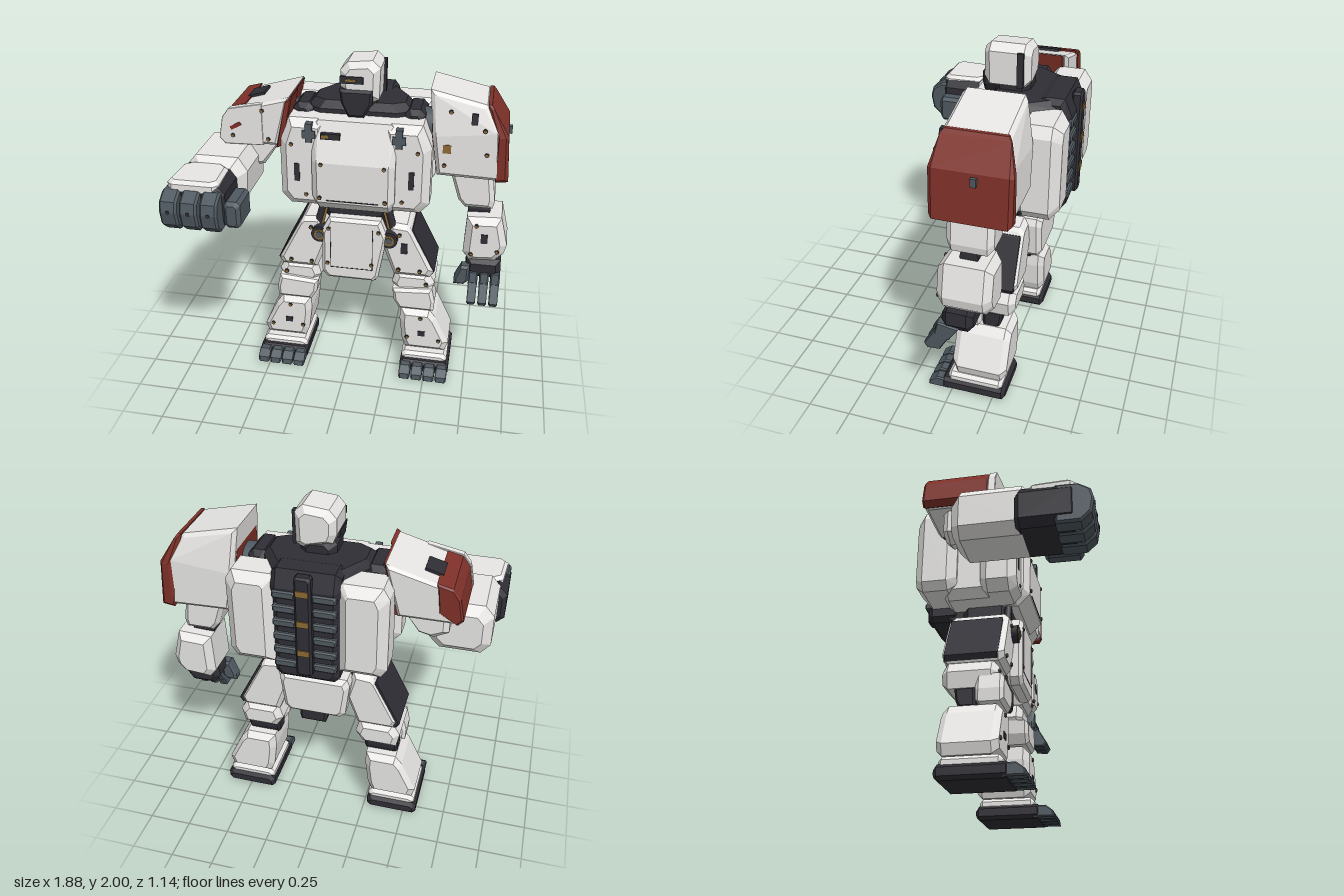
import * as THREE from 'three';
import { ConvexGeometry } from 'three/addons/geometries/ConvexGeometry.js';

const paint = (name, color) => Object.assign(new THREE.MeshStandardMaterial({ color }), { name });

export function createModel() {
  const white = paint('armour white', 0xeeedeb);
  const dark = paint('frame charcoal', 0x2f2e35);
  const steel = paint('steel grey', 0x4f5960);
  const red = paint('shoulder red', 0x7f3129);
  const gold = paint('brass', 0x8c6a34);

  const root = new THREE.Group();
  root.name = 'walkingRobot';
  const body = new THREE.Group();
  body.name = 'body';
  body.position.x = 0.035;
  root.add(body);
  let target = body;

  const add = (name, geo, mat) => {
    const m = new THREE.Mesh(geo, mat);
    m.name = name;
    target.add(m);
    return m;
  };

  // Bevelled convex block: a profile swept from a to b along an axis, both ends inset.
  // Profile is (x,y) for axis z, (z,y) for axis x, (x,z) for axis y; warp may move the points.
  function block(name, mat, poly, a, b, bev = 0.04, axis = 'z', warp = p => p) {
    const mid = [0, 1].map(k => (Math.min(...poly.map(p => p[k])) + Math.max(...poly.map(p => p[k]))) / 2);
    const half = [0, 1].map(k => Math.max(...poly.map(p => Math.abs(p[k] - mid[k]))));
    const pts = [];
    for (const [at, inset] of [[a, bev], [a + bev, 0], [b - bev, 0], [b, bev]]) {
      for (const p of poly) {
        const [u, v] = [0, 1].map(k => mid[k] + (p[k] - mid[k]) * Math.max(0.3, 1 - inset / half[k]));
        pts.push(warp(axis === 'z' ? new THREE.Vector3(u, v, at)
          : axis === 'x' ? new THREE.Vector3(at, v, u) : new THREE.Vector3(u, at, v)));
      }
    }
    return add(name, new ConvexGeometry(pts), mat);
  }

  // Box with chamfered edges
  function cbox(name, mat, [x, y, z], [w, h, d], c = 0.02) {
    const X = w / 2, Y = h / 2;
    const poly = [[-X + c, -Y], [X - c, -Y], [X, -Y + c], [X, Y - c], [X - c, Y], [-X + c, Y], [-X, Y - c], [-X, -Y + c]]
      .map(p => [p[0] + x, p[1] + y]);
    return block(name, mat, poly, z - d / 2, z + d / 2, c);
  }

  const plate = (name, mat, pos, size) => {
    const m = add(name, new THREE.BoxGeometry(...size), mat);
    m.position.set(...pos);
    return m;
  };

  function cyl(name, mat, pos, r, len, axis, sides = 16) {
    const m = add(name, new THREE.CylinderGeometry(r, r, len, sides), mat);
    if (axis === 'x') m.rotation.z = Math.PI / 2;
    if (axis === 'z') m.rotation.x = Math.PI / 2;
    m.position.set(...pos);
    return m;
  }
  const bolts = (list, z) => list.forEach(([x, y]) => {
    cyl('boltSeat', dark, [x, y, z], 0.013, 0.018, 'z', 8);
    cyl('bolt', gold, [x, y, z + 0.002], 0.009, 0.02, 'z', 8);
  });
  const flip = (poly, s) => poly.map(([x, y]) => [x * s, y]);

  // Torso core, chest and collar
  cbox('torsoCore', white, [0, 1.38, -0.2], [0.74, 0.48, 0.42], 0.05);
  block('chestPlate', white, [[-0.12, 1.14], [0.03, 1.13], [0.1, 1.2], [0.105, 1.45], [0.03, 1.68], [-0.1, 1.68]], -0.24, 0.24, 0.035, 'x');
  block('collar', dark, [[-0.18, -0.48], [0.18, -0.48], [0.3, -0.28], [0.3, -0.13], [0.22, -0.08], [-0.22, -0.08], [-0.3, -0.13], [-0.3, -0.28]], 1.58, 1.745, 0.04, 'y');
  cbox('neck', dark, [0, 1.74, -0.19], [0.2, 0.18, 0.2], 0.04);
  block('upperBack', dark, [[-0.54, 1.6], [-0.54, 1.66], [-0.5, 1.755], [-0.4, 1.755], [-0.3, 1.72], [-0.3, 1.6]], -0.185, 0.185, 0.03, 'x');
  cbox('waist', dark, [0, 1.1, -0.17], [0.42, 0.18, 0.3], 0.05);
  plate('chestVent', dark, [-0.13, 1.6, 0.06], [0.11, 0.035, 0.03]);
  plate('chestVentInlay', gold, [-0.16, 1.6, 0.076], [0.04, 0.018, 0.004]);
  plate('chestLine', dark, [0, 1.215, 0.102], [0.3, 0.005, 0.006]);

  // Back plate with ribs, spine and brass clips
  cbox('backPlate', dark, [0, 1.4, -0.43], [0.36, 0.62, 0.2], 0.03);
  block('backWedge', dark, [[-0.5, 1.18], [-0.2, 1.18], [-0.2, 1.05], [-0.36, 1.05]], -0.17, 0.17, 0.03, 'x');
  cbox('spine', dark, [0, 1.45, -0.54], [0.09, 0.6, 0.06], 0.012);
  for (let i = 0; i < 6; i++)
    for (const s of [1, -1]) cbox('backRib', steel, [s * 0.108, 1.2 + i * 0.085, -0.53], [0.125, 0.045, 0.04], 0.008);
  for (const y of [1.3, 1.48, 1.66]) plate('spineClip', gold, [0, y, -0.572], [0.066, 0.035, 0.008]);

  // Pelvis
  cbox('pelvis', dark, [0, 0.95, -0.17], [0.34, 0.22, 0.3], 0.05);
  block('frontSkirt', white, [[-0.15, 1.07], [0.16, 1.07], [0.2, 0.97], [0.15, 0.68], [0.125, 0.65], [-0.16, 0.65], [-0.195, 0.69], [-0.195, 0.98]], -0.04, 0.05, 0.02);
  for (const x of [-0.14, 0.115]) plate('skirtSideLine', dark, [x, 0.87, 0.049], [0.004, 0.28, 0.006]);
  plate('skirtBottomLine', dark, [-0.012, 0.735, 0.049], [0.25, 0.004, 0.006]);
  block('rearSkirt', white, [[-0.19, 1.02], [0.19, 1.02], [0.205, 0.98], [0.18, 0.78], [0.15, 0.75], [-0.15, 0.75], [-0.18, 0.78], [-0.205, 0.98]], -0.41, -0.27, 0.028);
  block('crotchGuard', dark, [[-0.04, 0.9], [0.12, 0.9], [0.13, 0.62], [0.12, 0.585], [-0.03, 0.585], [-0.04, 0.62]], -0.28, -0.06, 0.015);
  bolts([[-0.15, 1.0], [0.15, 1.0], [-0.16, 0.76], [0.11, 0.77]], 0.046);

  // Mirrored torso and leg parts
  for (const s of [1, -1]) {
    const f = poly => flip(poly, s);
    block('sideChest', white, f([[0.16, 1.14], [0.38, 1.14], [0.435, 1.2], [0.435, 1.55], [0.38, 1.68], [0.16, 1.68]]), -0.16, 0.055, 0.045);
    block('backPod', white, f([[0.17, 1.17], [0.4, 1.17], [0.435, 1.22], [0.435, 1.65], [0.4, 1.71], [0.19, 1.71], [0.17, 1.69]]), -0.545, -0.3, 0.05);
    cyl('shoulderJoint', steel, [s * 0.4, 1.61, -0.2], 0.1, 0.24, 'x');
    cbox('shoulderBridge', dark, [s * 0.32, 1.65, -0.2], [0.12, 0.15, 0.24], 0.03);
    plate('chestClampBar', steel, [s * 0.255, 1.61, 0.045], [0.038, 0.11, 0.05]);
    plate('chestClampArm', steel, [s * 0.255, 1.6, 0.045], [0.075, 0.045, 0.045]);
    plate('chestSlot', dark, [s * 0.33, 1.36, 0.056], [0.032, 0.11, 0.008]);
    bolts([[s * 0.19, 1.23], [s * 0.18, 1.44]], 0.1);
    bolts([[s * 0.28, 1.22], [s * 0.36, 1.53]], 0.05);

    // Hip hinge and piston
    cyl('hipHinge', dark, [s * 0.21, 0.945, 0], 0.052, 0.07, 'z', 20);
    cyl('hipRing', gold, [s * 0.21, 0.945, 0.036], 0.034, 0.008, 'z', 20);
    cyl('hipCap', steel, [s * 0.21, 0.945, 0.04], 0.022, 0.01, 'z', 16);
    const sleeve = cyl('hipSleeve', dark, [s * 0.215, 1.05, -0.03], 0.022, 0.16, 'y', 10);
    const piston = cyl('hipPiston', gold, [s * 0.19, 1.04, -0.02], 0.008, 0.18, 'y', 10);
    sleeve.rotation.z = piston.rotation.z = s * 0.25;

    // Thigh
    block('thigh', white, f([[0.21, 1.04], [0.31, 1.03], [0.33, 1.01], [0.48, 0.72], [0.46, 0.68], [0.24, 0.68], [0.165, 0.88]]), -0.345, 0, 0.03);
    block('thighSidePanel', dark, f([[0.33, 0.99], [0.345, 0.995], [0.488, 0.72], [0.47, 0.69], [0.45, 0.7]]), -0.33, -0.03, 0.006);
    bolts([[s * 0.27, 0.97], [s * 0.4, 0.73], [s * 0.27, 0.73]], 0);
    block('lowerThigh', white, f([[0.25, 0.69], [0.45, 0.69], [0.49, 0.62], [0.47, 0.53], [0.27, 0.53], [0.225, 0.6]]), -0.34, -0.03, 0.035);
    block('kneeGuard', white, f([[0.235, 0.58], [0.48, 0.6], [0.5, 0.51], [0.495, 0.44], [0.28, 0.44], [0.245, 0.5]]), -0.15, 0.005, 0.02);
    block('kneeJoint', dark, [[-0.15, 0.54], [-0.27, 0.54], [-0.26, 0.46], [-0.24, 0.42], [-0.15, 0.42]], s * 0.37 - 0.1, s * 0.37 + 0.1, 0.015, 'x');
    bolts([[s * 0.44, 0.62]], -0.03);

    // Shin
    block('shin', white, f([[0.29, 0.43], [0.47, 0.43], [0.51, 0.38], [0.6, 0.19], [0.58, 0.13], [0.33, 0.13], [0.305, 0.19], [0.285, 0.35]]), -0.325, 0, 0.035);
    plate('shinVent', dark, [s * 0.43, 0.265, 0.001], [0.045, 0.035, 0.008]);
    bolts([[s * 0.42, 0.38], [s * 0.34, 0.23], [s * 0.54, 0.22]], -0.002);

    // Foot
    cyl('ankle', dark, [s * 0.455, 0.12, -0.15], 0.09, 0.06, 'y', 16);
    cbox('footTop', white, [s * 0.455, 0.092, -0.14], [0.29, 0.066, 0.33], 0.02);
    cbox('sole', dark, [s * 0.46, 0.042, -0.13], [0.31, 0.084, 0.39], 0.02);
    for (let i = 0; i < 4; i++) {
      const x = s * 0.46 + (i - 1.5) * 0.077;
      block('toe', steel, [[0.02, 0.005], [0.145, 0.005], [0.14, 0.04], [0.095, 0.075], [0.02, 0.075]], x - 0.035, x + 0.035, 0.008, 'x');
    }
  }
  plate('leftThighSlot', dark, [0.3, 0.88, 0.001], [0.04, 0.07, 0.008]);

  // Head
  block('helmet', white, [[-0.1, 1.85], [-0.1, 1.94], [-0.06, 1.985], [0.08, 2], [0.125, 1.96], [0.12, 1.78], [0.08, 1.76], [-0.08, 1.8]], -0.3, -0.045, 0.035);
  block('faceMask', dark, [[-0.1, 1.84], [0.09, 1.84], [0.085, 1.76], [0.04, 1.68], [-0.05, 1.68], [-0.09, 1.76]], -0.2, -0.03, 0.015);
  plate('visor', dark, [-0.03, 1.895, -0.047], [0.13, 0.04, 0.02]);
  plate('visorLens', gold, [-0.035, 1.895, -0.036], [0.06, 0.012, 0.006]);
  plate('antenna', dark, [0.127, 1.87, -0.25], [0.02, 0.19, 0.035]);

  // Left shoulder and hanging arm; the pad narrows towards its top
  target = new THREE.Group();
  target.name = 'leftArm';
  root.add(target);
  const narrowTop = p => {
    if (p.y > 1.7) p.z = -0.21 + (p.z + 0.21) * 0.82;
    return p;
  };
  block('leftShoulderPad', white, [[0.44, 1.87], [0.75, 1.8], [0.84, 1.66], [0.86, 1.37], [0.5, 1.38], [0.465, 1.62]], -0.41, 0.005, 0.025, 'z', narrowTop);
  block('leftShoulderTrim', red, [[0.755, 1.802], [0.775, 1.802], [0.88, 1.64], [0.9, 1.37], [0.83, 1.36], [0.83, 1.64]], -0.42, 0.005, 0.02, 'z', narrowTop);
  block('leftInnerTrim', red, [[0.45, 1.8], [0.47, 1.8], [0.52, 1.42], [0.492, 1.42], [0.459, 1.62]], -0.38, -0.025, 0.008, 'z', narrowTop);
  plate('leftTrimStud', steel, [0.885, 1.6, -0.23], [0.03, 0.045, 0.03]);
  plate('leftPadLabel', gold, [0.55, 1.55, 0.006], [0.045, 0.05, 0.006]);
  const padSlot = plate('leftPadSlot', dark, [0.69, 1.73, -0.012], [0.035, 0.06, 0.03]);
  padSlot.rotation.x = -0.15;
  bolts([[0.54, 1.45], [0.75, 1.67], [0.77, 1.53]], 0.002);
  bolts([[0.56, 1.76]], -0.022);
  block('leftUpperArm', white, [[0.56, 1.42], [0.81, 1.42], [0.84, 1.2], [0.83, 1.155], [0.67, 1.155], [0.63, 1.2]], -0.31, -0.06, 0.03);
  cyl('leftElbow', dark, [0.755, 1.12, -0.18], 0.05, 0.13, 'x');
  block('leftForearm', white, [[0.69, 1.1], [0.89, 1.11], [0.935, 0.93], [0.92, 0.87], [0.87, 0.82], [0.72, 0.81], [0.68, 0.86]], -0.325, -0.03, 0.04);
  plate('leftForearmVent', dark, [0.8, 0.98, -0.03], [0.04, 0.06, 0.008]);
  bolts([[0.75, 1.06], [0.73, 0.87], [0.88, 0.9]], -0.035);
  block('leftPalm', dark, [[0.71, 0.82], [0.91, 0.82], [0.915, 0.74], [0.88, 0.69], [0.74, 0.69], [0.7, 0.75]], -0.22, -0.05, 0.03);
  for (let i = 0; i < 3; i++) {
    const x = 0.755 + i * 0.066;
    block('leftFinger', steel, [[-0.15, 0.72], [-0.03, 0.74], [-0.01, 0.66], [-0.09, 0.63]], x - 0.028, x + 0.028, 0.008, 'x');
    block('leftFingertip', steel, [[-0.1, 0.66], [-0.01, 0.68], [0.05, 0.58], [0.03, 0.55], [-0.04, 0.555]], x - 0.026, x + 0.026, 0.008, 'x');
  }
  block('leftThumb', steel, [[0.68, 0.78], [0.73, 0.78], [0.73, 0.68], [0.7, 0.65], [0.64, 0.65], [0.64, 0.69]], -0.1, -0.02, 0.015);

  // Right shoulder and raised arm
  target = new THREE.Group();
  target.name = 'rightArm';
  root.add(target);
  block('rightShoulderPad', white, [[-0.345, 1.785], [-0.68, 1.69], [-0.72, 1.64], [-0.745, 1.52], [-0.71, 1.49], [-0.42, 1.49]], -0.395, 0.01, 0.02);
  block('rightPadFrontLip', white, [[-0.5, 1.742], [-0.698, 1.702], [-0.738, 1.648], [-0.763, 1.52], [-0.73, 1.485], [-0.5, 1.49]], -0.03, 0.012, 0.003);
  block('rightInnerTrim', red, [[-0.365, 1.765], [-0.335, 1.785], [-0.405, 1.485], [-0.43, 1.48]], -0.37, -0.02, 0.008);
  block('rightInnerEdge', red, [[-0.36, 1.765], [-0.325, 1.79], [-0.385, 1.5], [-0.425, 1.48]], -0.16, 0.017, 0.008);
  block('rightOuterTrim', red, [[-0.61, 1.72], [-0.695, 1.698], [-0.735, 1.645], [-0.76, 1.52], [-0.73, 1.49], [-0.63, 1.55]], -0.4, -0.025, 0.012);
  const hatch = plate('rightPadHatch', dark, [-0.58, 1.724, -0.23], [0.1, 0.018, 0.13]);
  hatch.rotation.z = 0.27;
  const mark = plate('rightPadMark', red, [-0.66, 1.6, 0.012], [0.07, 0.022, 0.006]);
  mark.rotation.z = 0.5;
  bolts([[-0.5, 1.7], [-0.68, 1.54], [-0.47, 1.53]], 0.008);
  block('rightUpperArm', white, [[-0.4, 1.52], [-0.68, 1.52], [-0.68, 1.36], [-0.6, 1.32], [-0.52, 1.34]], -0.3, -0.04, 0.03);
  block('rightForearm', white, [[-0.6, 1.48], [-0.85, 1.48], [-0.9, 1.42], [-0.9, 1.24], [-0.85, 1.18], [-0.62, 1.18], [-0.56, 1.24], [-0.55, 1.4]], -0.2, 0.23, 0.05);
  block('rightPalm', dark, [[-0.64, 1.43], [-0.89, 1.43], [-0.945, 1.37], [-0.945, 1.22], [-0.9, 1.18], [-0.62, 1.18], [-0.6, 1.22], [-0.6, 1.38]], 0.15, 0.47, 0.025);
  block('rightHandGuard', white, [[-0.64, 0.24], [-0.68, 0.2], [-0.86, 0.2], [-0.91, 0.24], [-0.92, 0.44], [-0.89, 0.47], [-0.66, 0.47], [-0.63, 0.44]], 1.37, 1.45, 0.02, 'y');
  for (let i = 0; i < 3; i++) {
    const x = -0.89 + i * 0.113;
    block('rightFinger', steel, [[0.36, 1.4], [0.48, 1.4], [0.545, 1.36], [0.56, 1.3], [0.545, 1.22], [0.49, 1.17], [0.36, 1.17]], x - 0.05, x + 0.05, 0.012, 'x');
    cyl('rightKnuckle', dark, [x, 1.3, 0.556], 0.012, 0.012, 'z', 8);
  }
  cbox('rightThumb', steel, [-0.565, 1.26, 0.36], [0.095, 0.16, 0.21], 0.02);

  return root;
}
